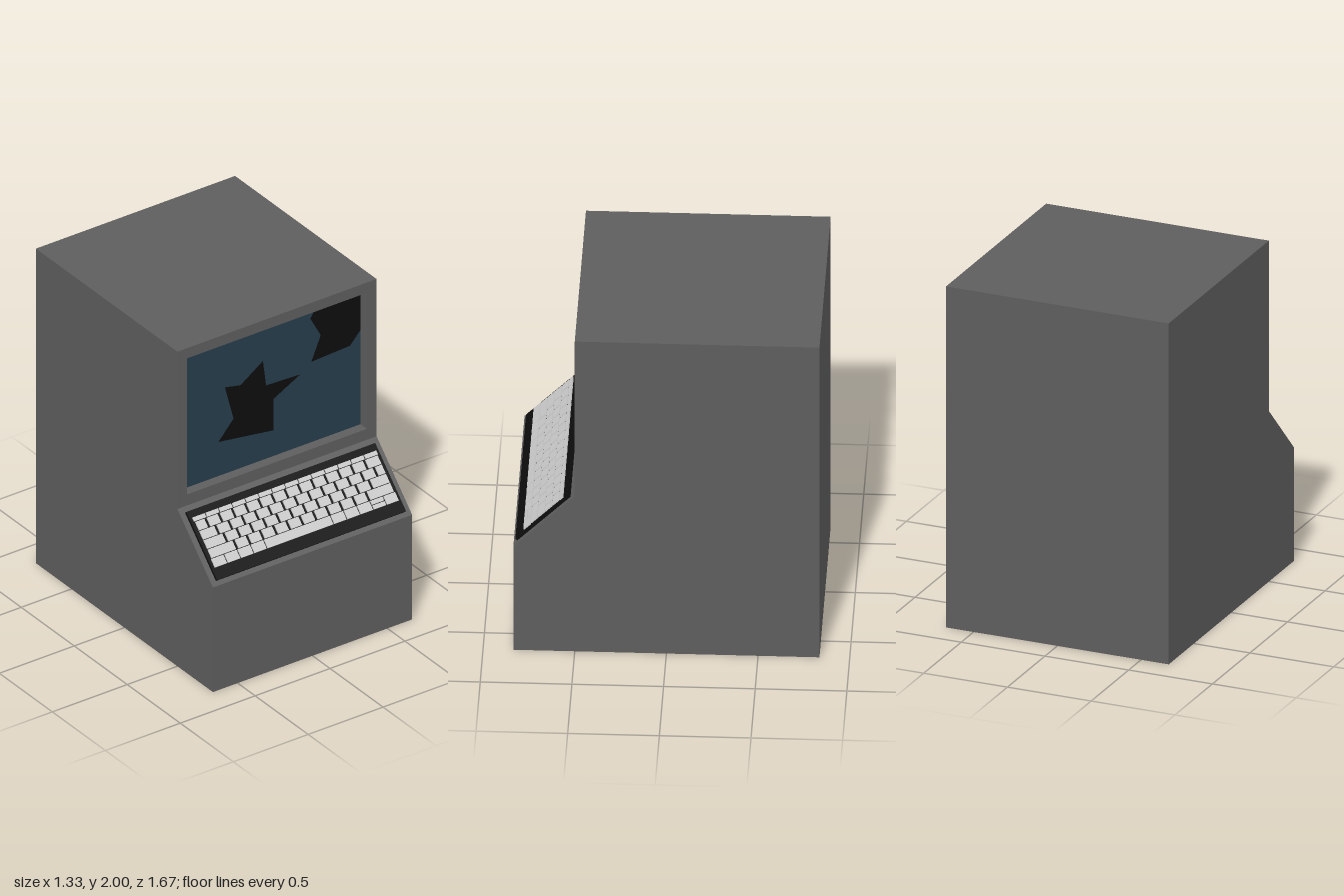
import * as THREE from 'three';

const HALF_W = 0.665;
const FRONT = 0.5;
const SCREEN_Z = 0.44;
const SCREEN = { x: 0.6, bottom: 1.07, top: 1.935 };

const mat = (color) => new THREE.MeshStandardMaterial({ color, flatShading: true });
const shapeOf = (pts) => new THREE.Shape(pts.map(([x, y]) => new THREE.Vector2(x, y)));

function add(parent, name, geometry, material, x = 0, y = 0, z = 0) {
  const mesh = new THREE.Mesh(geometry, material);
  mesh.name = name;
  mesh.position.set(x, y, z);
  parent.add(mesh);
  return mesh;
}

// Flat panel across the width, running between two [z, y] profile points
function panel(parent, name, a, b, halfWidth, material) {
  const dz = b[0] - a[0], dy = b[1] - a[1], len = Math.hypot(dz, dy);
  const mesh = add(parent, name, new THREE.PlaneGeometry(halfWidth * 2, len), material,
    0, (a[1] + b[1]) / 2, (a[0] + b[0]) / 2);
  mesh.quaternion.setFromRotationMatrix(new THREE.Matrix4().makeBasis(
    new THREE.Vector3(1, 0, 0),
    new THREE.Vector3(0, dy / len, dz / len),
    new THREE.Vector3(0, -dz / len, dy / len)));
}

function makeCabinet(body) {
  const g = new THREE.Group();
  g.name = 'cabinet';
  const profile = [[0.835, 0], [0.835, 0.665], [FRONT, 1], [FRONT, 2], [-0.835, 2], [-0.835, 0]];
  const names = ['lowerFront', 'slopedDesk', null, 'topPanel', 'backPanel', 'bottomPanel'];
  names.forEach((name, i) => {
    if (name) panel(g, name, profile[i], profile[(i + 1) % profile.length], HALF_W, body);
  });

  // Side walls share the profile
  for (const s of [1, -1]) {
    const side = shapeOf(profile.map(([z, y]) => [-s * z, y]));
    add(g, s > 0 ? 'leftSide' : 'rightSide', new THREE.ShapeGeometry(side), body, s * HALF_W)
      .rotation.y = s * Math.PI / 2;
  }

  // Screen surround with opening
  const { x, bottom, top } = SCREEN;
  const bezel = shapeOf([[-HALF_W, 1], [HALF_W, 1], [HALF_W, 2], [-HALF_W, 2]]);
  bezel.holes.push(shapeOf([[-x, bottom], [-x, top], [x, top], [x, bottom]]));
  add(g, 'bezel', new THREE.ShapeGeometry(bezel), body, 0, 0, FRONT);

  // Walls of the screen recess
  panel(g, 'recessFloor', [FRONT, bottom], [SCREEN_Z, bottom], x, body);
  panel(g, 'recessCeiling', [SCREEN_Z, top], [FRONT, top], x, body);
  for (const s of [1, -1]) {
    add(g, 'recessSide', new THREE.PlaneGeometry(FRONT - SCREEN_Z, top - bottom), body,
      s * x, (top + bottom) / 2, (FRONT + SCREEN_Z) / 2).rotation.y = -s * Math.PI / 2;
  }
  return g;
}

function makeScreen(black) {
  const g = new THREE.Group();
  g.name = 'screen';
  const { x, bottom, top } = SCREEN;
  add(g, 'glass', new THREE.PlaneGeometry(x * 2, top - bottom), mat(0x253d4c),
    0, (top + bottom) / 2, SCREEN_Z);

  // Jagged broken patches
  const star = [[-0.053, 1.7], [-0.202, 1.598], [-0.307, 1.62], [-0.249, 1.402], [-0.35, 1.288],
    [0.016, 1.235], [0.018, 1.434], [0.196, 1.528], [-0.032, 1.537]];
  const corner = [[0.312, top], [0.264, 1.857], [0.333, 1.73], [0.27, 1.582], [0.529, 1.595],
    [x, 1.672], [x, top]];
  add(g, 'centreBreak', new THREE.ShapeGeometry(shapeOf(star)), black, 0, 0, SCREEN_Z + 0.002);
  add(g, 'cornerBreak', new THREE.ShapeGeometry(shapeOf(corner)), black, 0, 0, SCREEN_Z + 0.002);
  return g;
}

function makeKeyboard(black) {
  // Local frame: y runs up the slope, z points out of it
  const g = new THREE.Group();
  g.name = 'keyboard';
  g.position.set(0, 0.8325, 0.6675);
  g.rotation.x = -Math.PI / 4;
  add(g, 'keyboardBase', new THREE.BoxGeometry(1.262, 0.411, 0.015), black, 0, -0.003, 0.0075);

  const keyMat = mat(0xcccccc);
  const left = -0.617, unit = 1.234 / 14;
  const key = (u0, u1, y0, y1, gap) => add(g, 'key',
    new THREE.BoxGeometry((u1 - u0) * unit - gap, y1 - y0 - 0.004, 0.011), keyMat,
    left + unit * (u0 + u1) / 2, (y0 + y1) / 2, 0.0175);
  const evenSplits = (first, count) => Array.from({ length: count }, (_, i) => first + i);

  // Splits between keys in key widths, top row to bottom row
  const rows = [
    { splits: evenSplits(1, 13), gap: 0.008, h: 0.028 },
    { splits: evenSplits(0.87, 13), gap: 0.018, h: 0.0555 },
    { splits: evenSplits(1.3, 13), gap: 0.018, h: 0.0555 },
    { splits: evenSplits(1.6, 12), gap: 0.018, h: 0.0555 },
    { splits: evenSplits(2.05, 11), gap: 0.018, h: 0.0555 },
    { splits: [1, 2, 3, 4, 9.05, 10.05, 11.05, 12.05, 13.05], gap: 0.008, h: 0.0555, halved: 8 },
  ];
  let y = 0.163;
  for (const { splits, gap, h, halved } of rows) {
    const edges = [0, ...splits, 14];
    for (let i = 0; i + 1 < edges.length; i++) {
      if (i === halved - 0) continue;
      key(edges[i], edges[i + 1], y - h, y, gap);
    }
    // Up and down arrows share one key space
    if (halved) {
      key(edges[halved], edges[halved + 1], y - h / 2, y, gap);
      key(edges[halved], edges[halved + 1], y - h, y - h / 2, gap);
    }
    y -= h;
  }
  return g;
}

export function createModel() {
  const model = new THREE.Group();
  model.name = 'computerTerminal';
  const black = mat(0x0d0d0d);
  model.add(makeCabinet(mat(0x5e5e5e)), makeScreen(black), makeKeyboard(black));
  return model;
}
